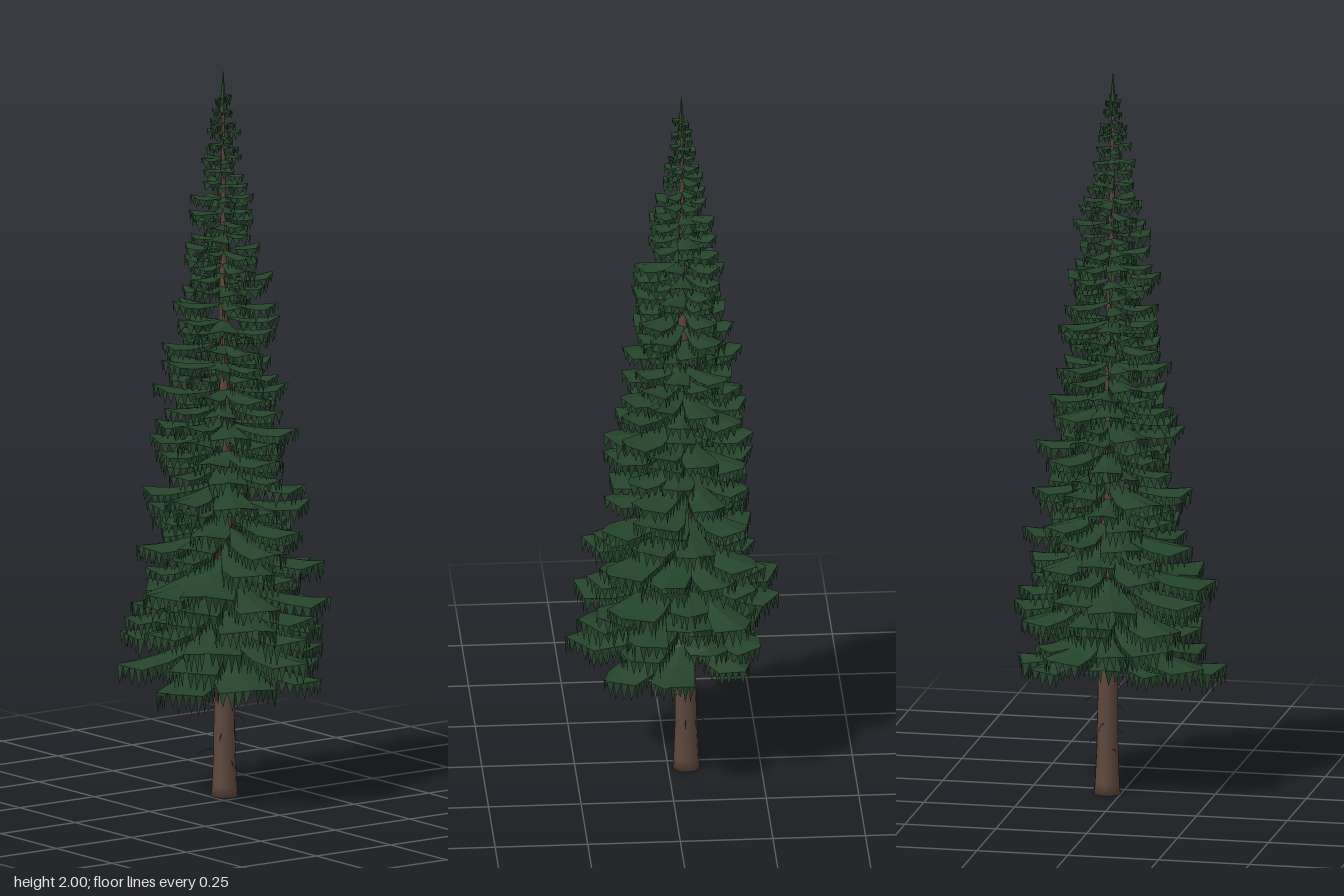
import * as THREE from 'three';

const V = (x, y, z) => new THREE.Vector3(x, y, z);

// seeded random numbers
let seed = 7;
const rnd = (a = 0, b = 1) => {
  seed = (seed * 16807) % 2147483647;
  return a + (b - a) * (seed / 2147483647);
};

// centre line of the slightly leaning trunk
const axis = (y) => V(-0.049 + 0.006 * y, y, -0.038 + 0.007 * y);

// crown radius by height
const crown = [[0.36, 0.25], [0.46, 0.29], [0.66, 0.285], [0.8, 0.235], [1, 0.205], [1.2, 0.175],
  [1.4, 0.144], [1.6, 0.102], [1.8, 0.054], [1.9, 0.03], [2, 0.012]];
function crownRadius(y) {
  const i = Math.max(1, crown.findIndex((p) => p[0] >= y));
  const [a, b] = [crown[i - 1], crown[i]];
  return THREE.MathUtils.mapLinear(y, a[0], b[0], a[1], b[1]);
}

// one bough: a ridged fan-shaped pad with a pointed end and a hanging, toothed fringe
const outline = [[0, 0.15], [0.3, 0.6], [0.58, 0.92], [0.82, 1], [1, 0.08]];
function addBough(out, y, angle, length) {
  const tri = (...pts) => pts.forEach((p) => out.push(p.x, p.y, p.z));
  const base = axis(y);
  const dir = V(Math.cos(angle), 0, Math.sin(angle));
  const side = V(-dir.z, 0, dir.x);
  const low = THREE.MathUtils.clamp((1.2 - y) / 0.75, 0, 1);
  const half = length * rnd(0.2, 0.26) + 0.005;
  const slope = -0.12 - 0.43 * low + rnd(-0.06, 0.06);
  const curl = 0.17 + 0.1 * low;
  const toothLength = 0.016 + 0.11 * length;
  const rows = outline.map(([t, w]) => {
    const ridge = base.clone().addScaledVector(dir, t * length);
    ridge.y += length * (slope * t + curl * t * t);
    const edge = (s) => {
      const p = ridge.clone().addScaledVector(side, s * half * w * rnd(0.9, 1.1));
      p.y -= half * w * 0.22;
      return p.addScaledVector(dir, length * rnd(-0.03, 0.03));
    };
    return [edge(-1), ridge, edge(1)];
  });
  for (let i = 0; i + 1 < rows.length; i++) {
    const [a, b] = [rows[i], rows[i + 1]];
    for (let k = 0; k < 2; k++) {
      tri(a[k], a[k + 1], b[k]);
      tri(a[k + 1], b[k + 1], b[k]);
    }
    if (i === 0) continue;
    for (const k of [0, 2]) {
      const n = Math.max(1, Math.round(a[k].distanceTo(b[k]) / 0.02));
      for (let j = 0; j < n; j++) {
        const p = a[k].clone().lerp(b[k], j / n);
        const q = a[k].clone().lerp(b[k], (j + 1) / n);
        const tip = p.clone().lerp(q, rnd(0.3, 0.8));
        tip.y -= toothLength * rnd(0.65, 1.15);
        tri(p, q, tip);
      }
    }
  }
}

export function createModel() {
  seed = 7;
  const group = new THREE.Group();
  const bark = new THREE.MeshStandardMaterial({ color: 0x5c463a });
  const needles = new THREE.MeshStandardMaterial({ color: 0x24432a, flatShading: true, side: THREE.DoubleSide });
  const add = (geo, mat, name) => {
    const mesh = new THREE.Mesh(geo, mat);
    mesh.name = name;
    group.add(mesh);
  };

  // tapering trunk with a flared foot, sheared along the lean
  const profile = [[0, 0], [0.037, 0], [0.034, 0.03], [0.03, 0.12], [0.027, 0.35], [0.019, 0.9], [0.01, 1.5], [0.002, 1.97]];
  const trunk = new THREE.LatheGeometry(profile.map((p) => new THREE.Vector2(...p)), 12);
  const pos = trunk.attributes.position;
  for (let i = 0; i < pos.count; i++) {
    const c = axis(pos.getY(i));
    pos.setX(i, pos.getX(i) + c.x);
    pos.setZ(i, pos.getZ(i) + c.z);
  }
  trunk.computeVertexNormals();
  add(trunk, bark, 'trunk');

  // bare twigs below the crown
  for (let i = 0; i < 9; i++) {
    const y = 0.1 + i * 0.024;
    const a = i * 2.4;
    const l = rnd(0.04, 0.075);
    const at = (r, dy) => axis(y).add(V(Math.cos(a) * r, dy, Math.sin(a) * r));
    const path = new THREE.QuadraticBezierCurve3(at(0.02, 0), at(l * 0.7, 0.012), at(l, -0.012));
    add(new THREE.TubeGeometry(path, 4, 0.001, 4), bark, 'twig');
  }

  // whorls of boughs, closer together toward the top
  const points = [];
  let turn = 0.35;
  for (let y = 0.435; y < 1.94; y += 0.05 - 0.009 * y) {
    const count = y < 0.75 ? 7 : y < 1.3 ? 6 : 5;
    for (let i = 0; i < count; i++) {
      const angle = turn + ((i + rnd(-0.2, 0.2)) / count) * Math.PI * 2;
      const lopsided = 1 + 0.13 * Math.cos(angle - 0.65) * (y < 0.75 ? 1 : 0.3);
      addBough(points, y + rnd(-0.01, 0.01), angle, crownRadius(y) * lopsided * rnd(0.74, 1.04));
    }
    turn += 2.4;
  }
  const foliage = new THREE.BufferGeometry();
  foliage.setAttribute('position', new THREE.Float32BufferAttribute(points, 3));
  foliage.computeVertexNormals();
  add(foliage, needles, 'boughs');

  // leading shoot
  const shoot = new THREE.ConeGeometry(0.012, 0.12, 6);
  shoot.translate(axis(2).x, 1.94, axis(2).z);
  add(shoot, needles, 'leadingShoot');
  return group;
}
